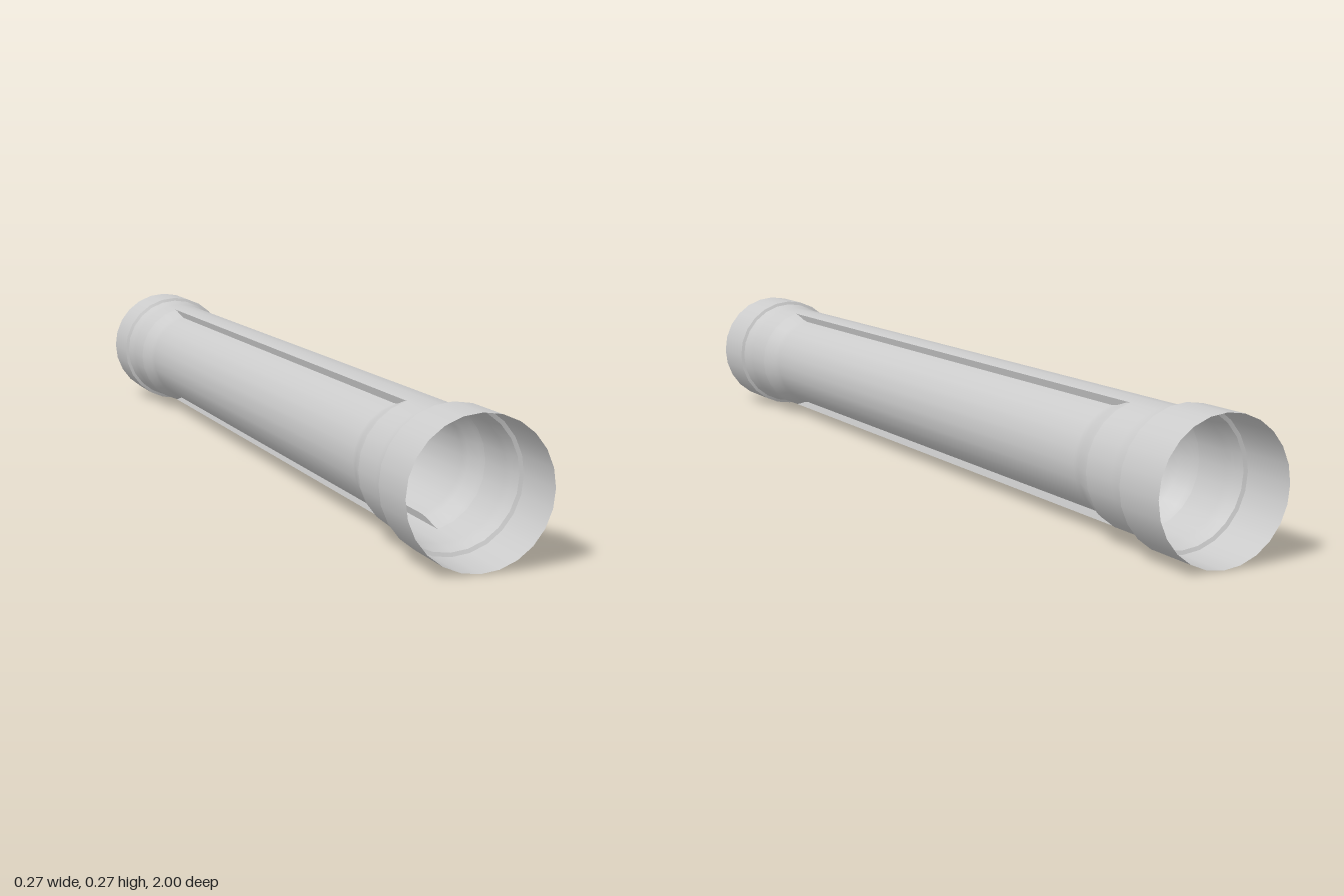
import * as THREE from 'three';

const SIDES = 24;
const STEP = (Math.PI * 2) / SIDES;
const AXIS_Y = 0.133;
const RIB_R = 0.12;

const material = new THREE.MeshStandardMaterial({ color: 0xcccccc, side: THREE.DoubleSide });

// Profiles are [radius, z] pairs, from the front towards the back
const collarProfile = [[0.133, 0.885], [0.133, 1]];
const stepProfile = [[0.126, 0.882], [0.133, 0.885]];
const neckProfile = [[RIB_R, 0.76], [RIB_R, 0.84], [0.122, 0.86], [0.126, 0.882]];
const taper = [[RIB_R, 0.76], [0.117, 0.745], [0.108, 0.715], [0.105, 0.695]];
const shaftProfile = [
  ...taper.map(([r, z]) => [r, -z]),
  ...taper.slice().reverse(),
];

export function createModel() {
  const tube = new THREE.Group();
  tube.name = 'tube';

  const add = (name, geometry) => {
    const mesh = new THREE.Mesh(geometry, material);
    mesh.name = name;
    mesh.position.y = AXIS_Y;
    tube.add(mesh);
    return mesh;
  };

  // Revolves a profile about z; side 0 starts at the bottom
  const revolve = (profile, first = 0, count = SIDES) => {
    const points = profile.map(([r, z]) => new THREE.Vector2(r, z));
    return new THREE.LatheGeometry(points, count, first * STEP, count * STEP).rotateX(Math.PI / 2);
  };

  // Stepped sockets at both ends
  for (const [end, turn] of [['front', 0], ['back', Math.PI]]) {
    add(end + 'Collar', revolve(collarProfile)).rotation.y = turn;
    add(end + 'Step', revolve(stepProfile)).rotation.y = turn;
    add(end + 'Neck', revolve(neckProfile)).rotation.y = turn;
  }

  // Narrow shaft, interrupted by the ribs at top and bottom
  add('leftShaft', revolve(shaftProfile, 1, 10));
  add('rightShaft', revolve(shaftProfile, 13, 10));

  // Raised ribs
  const ribProfile = [[RIB_R, -0.76], [RIB_R, 0.76]];
  add('bottomRib', revolve(ribProfile, -1, 2));
  add('topRib', revolve(ribProfile, 11, 2));

  // Radial walls that join the ribs to the shaft
  const wallShape = new THREE.Shape(shaftProfile.map(([r, z]) => new THREE.Vector2(r, z)));
  for (const side of [-1, 1, 11, 13]) {
    const wall = new THREE.ShapeGeometry(wallShape);
    wall.rotateY(side * STEP - Math.PI / 2).rotateX(Math.PI / 2);
    add('ribWall', wall);
  }

  return tube;
}
